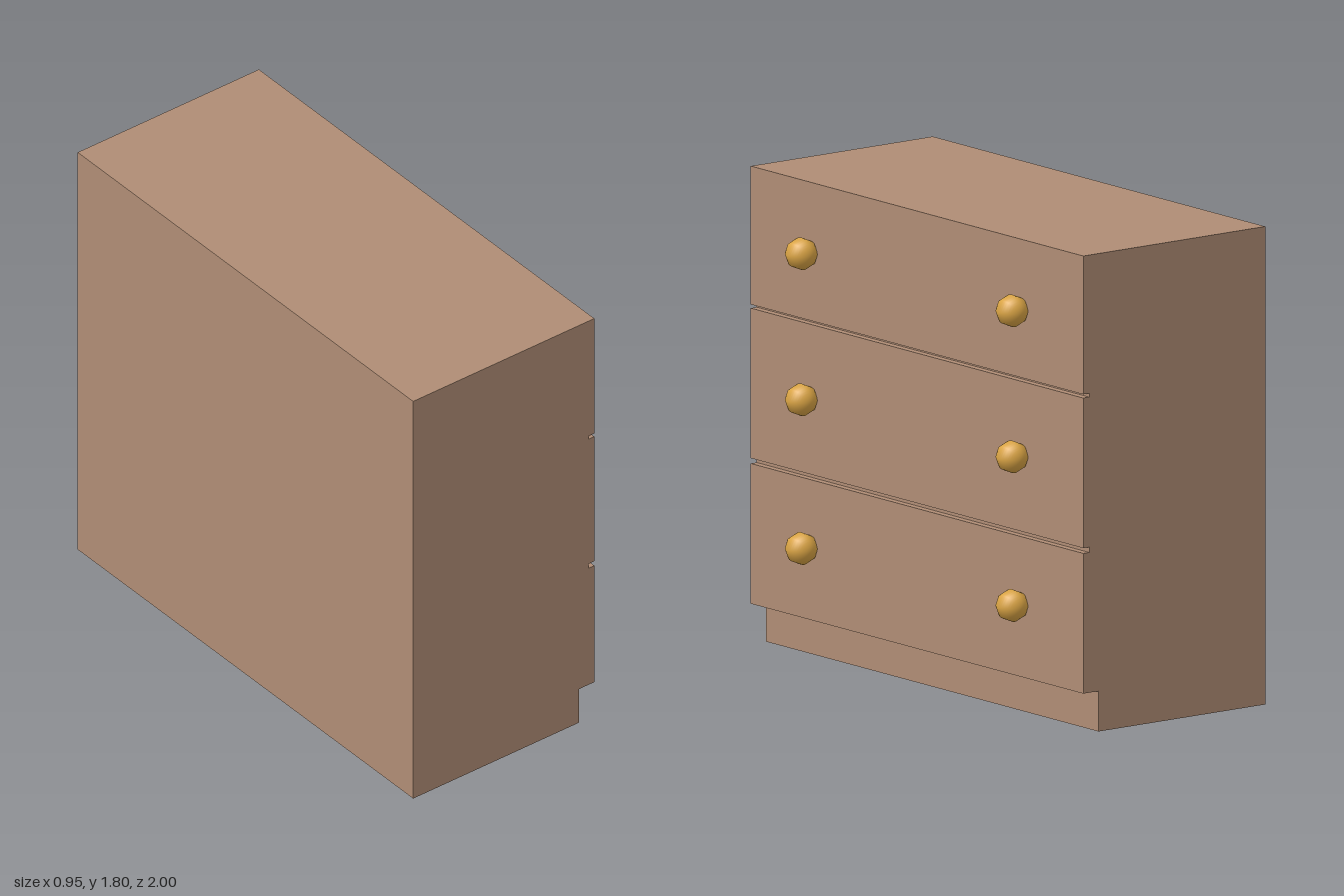
import * as THREE from 'three';

export function createModel() {
  const group = new THREE.Group();
  group.name = 'chestOfDrawers';

  const wood = new THREE.MeshStandardMaterial({ color: 0xb08d75 });
  wood.name = 'wood';
  const brass = new THREE.MeshStandardMaterial({ color: 0xdba545 });
  brass.name = 'brass';

  // Cabinet: side profile with toe kick and grooves between drawers, extruded along z
  const back = -0.475, face = 0.373, toe = 0.302, grooveX = 0.345, height = 1.8;
  const profile = [[back, 0], [toe, 0], [toe, 0.152], [face, 0.152]];
  for (const [low, high] of [[0.68, 0.70], [1.265, 1.279]]) {
    profile.push([face, low], [grooveX, low], [grooveX, high], [face, high]);
  }
  profile.push([face, height], [back, height]);
  const shape = new THREE.Shape(profile.map(([x, y]) => new THREE.Vector2(x, y)));
  const cabinetGeometry = new THREE.ExtrudeGeometry(shape, { depth: 2, bevelEnabled: false });
  cabinetGeometry.translate(0, 0, -1);
  const cabinet = new THREE.Mesh(cabinetGeometry, wood);
  cabinet.name = 'cabinet';
  group.add(cabinet);

  // Knobs: eight-sided spheres with poles along z, two per drawer
  const knobGeometry = new THREE.SphereGeometry(0.061, 8, 20).rotateX(Math.PI / 2);
  const knobs = new THREE.Group();
  knobs.name = 'knobs';
  for (const y of [0.425, 0.985, 1.535]) {
    for (const z of [-0.622, 0.645]) {
      const knob = new THREE.Mesh(knobGeometry, brass);
      knob.name = 'knob';
      knob.position.set(0.412, y, z);
      knobs.add(knob);
    }
  }
  group.add(knobs);

  return group;
}
